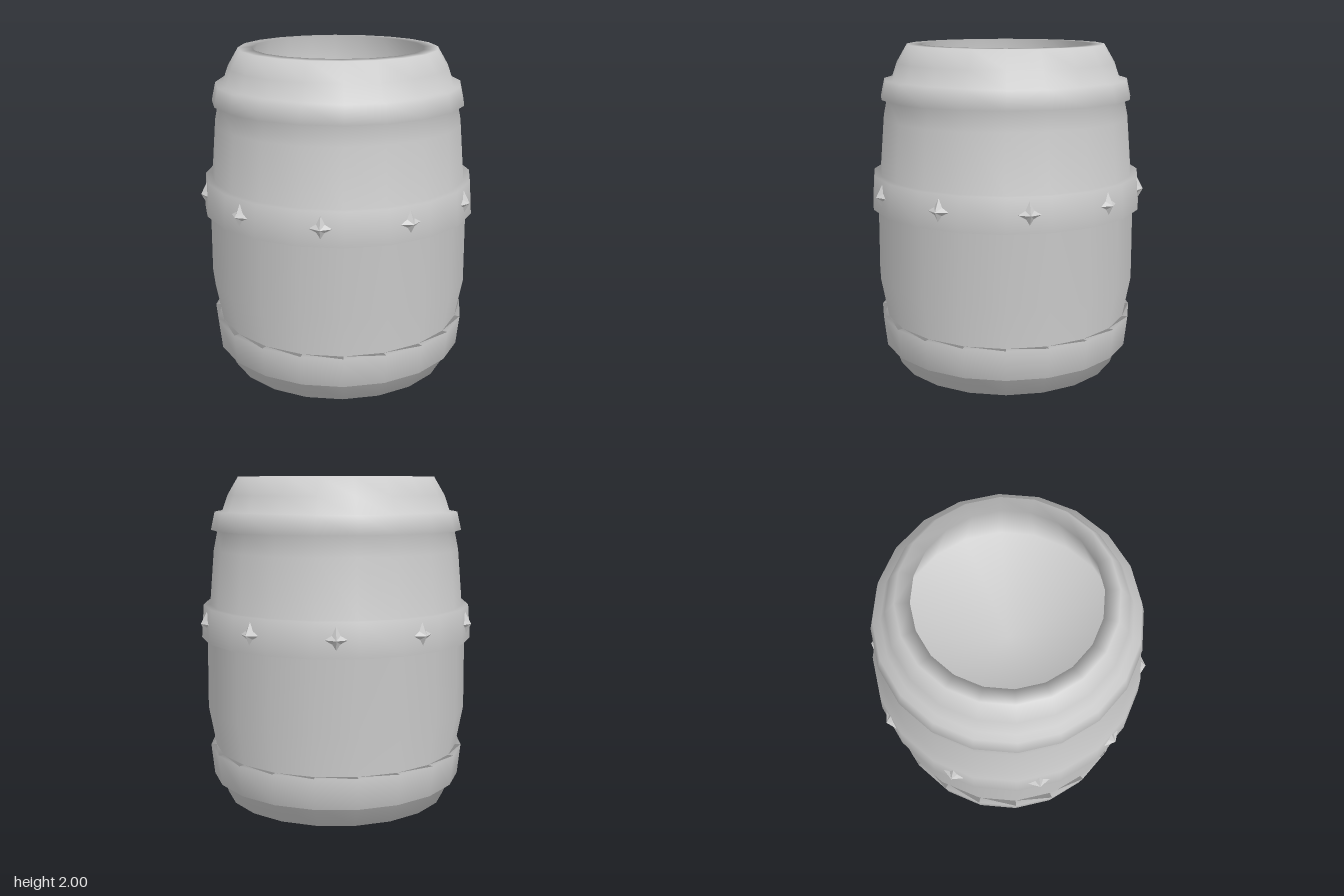
import * as THREE from 'three';

const SIDES = 20;

// Smooth surface of revolution from [radius, height] pairs
function lathe(name, profile, material) {
  const points = profile.map(([r, y]) => new THREE.Vector2(r, y));
  const mesh = new THREE.Mesh(new THREE.LatheGeometry(points, SIDES), material);
  mesh.name = name;
  return mesh;
}

// Small pinched pyramid pointing along +z
function studGeometry() {
  const geo = new THREE.ConeGeometry(0.075, 0.04, 8, 1);
  const pos = geo.attributes.position;
  for (let i = 0; i < pos.count; i++) {
    const x = pos.getX(i), z = pos.getZ(i);
    const onAxis = Math.min(Math.abs(x), Math.abs(z)) < 1e-4;
    if (onAxis) pos.setXYZ(i, x * 0.5, pos.getY(i), z * 0.5);
  }
  geo.rotateY(Math.PI / 4);
  geo.rotateX(Math.PI / 2);
  return geo;
}

export function createModel() {
  const group = new THREE.Group();
  group.name = 'barrel';
  const grey = new THREE.MeshStandardMaterial({ color: 0xcccccc });
  const facetedGrey = new THREE.MeshStandardMaterial({ color: 0xcccccc, flatShading: true });

  // Staves, three raised hoops and the recessed ends in one continuous skin
  group.add(lathe('stavesAndHoops', [
    // recessed underside
    [0, 0.7], [0.72, 0.7], [0.63, 0],
    // foot and lower hoop
    [0.7, 0], [0.745, 0.13], [0.785, 0.13], [0.805, 0.32], [0.77, 0.32],
    // belly and middle hoop
    [0.815, 0.57], [0.81, 1.015], [0.845, 1.015], [0.83, 1.22], [0.79, 1.22],
    // shoulder and upper hoop
    [0.76, 1.56], [0.735, 1.68], [0.775, 1.68], [0.75, 1.79], [0.705, 1.79],
    // rim and recessed top
    [0.67, 1.89], [0.605, 2], [0.52, 2], [0.68, 1.45], [0, 1.45],
  ], grey));

  // Ring of studs, centred on every second facet of the middle hoop
  const studs = new THREE.Group();
  studs.name = 'hoopStuds';
  const geo = studGeometry();
  for (let i = 0; i < 10; i++) {
    const a = (-9 + i * 36) * Math.PI / 180;
    const stud = new THREE.Mesh(geo, facetedGrey);
    stud.name = 'stud';
    stud.position.set(Math.sin(a) * 0.842, 1.12, Math.cos(a) * 0.842);
    stud.rotation.y = a;
    studs.add(stud);
  }
  group.add(studs);
  return group;
}
